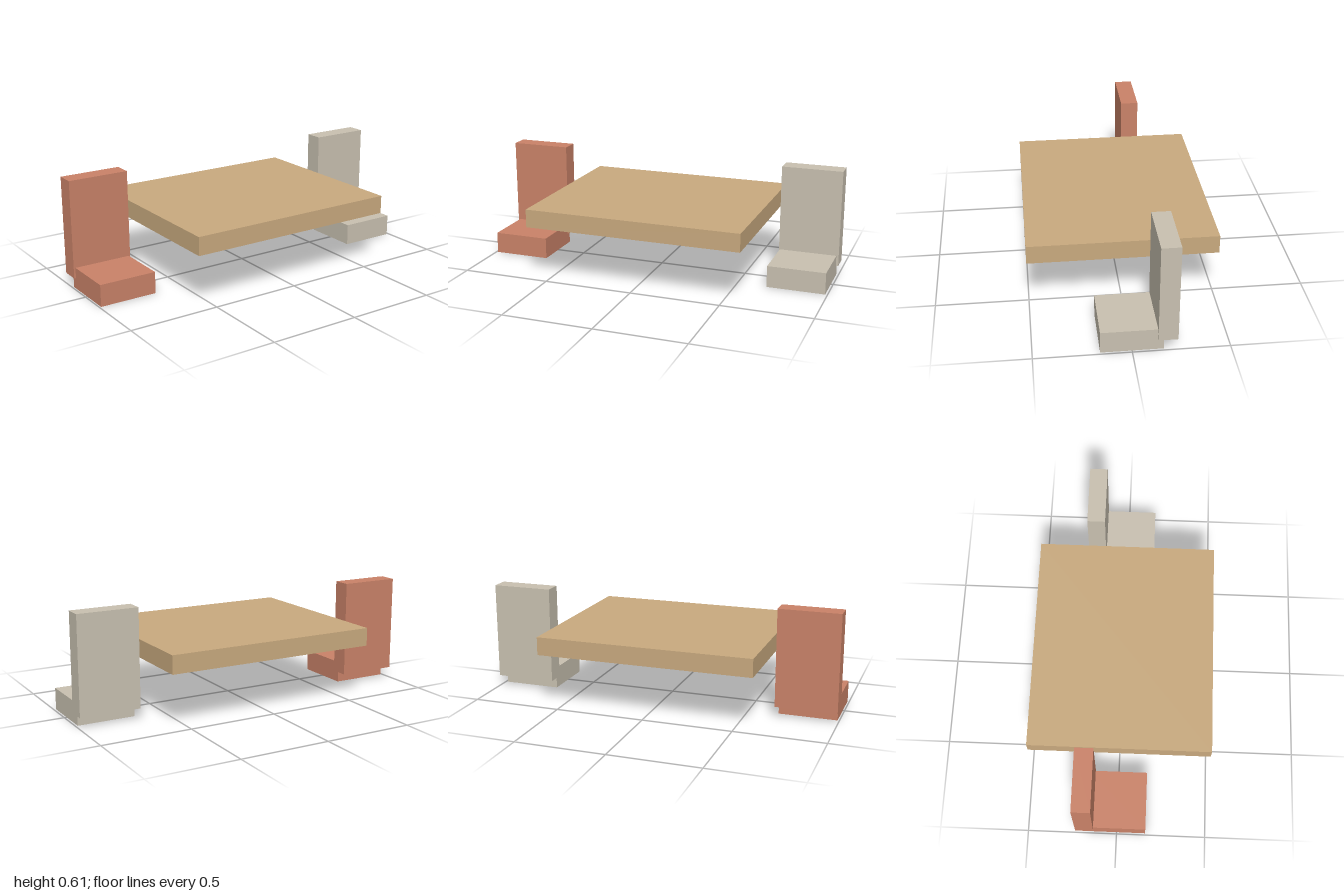
import * as THREE from 'three';

const paint = (name, color) => Object.assign(new THREE.MeshStandardMaterial({ color }), { name });

// Box given by its size and centre
function box(name, size, centre, material) {
  const mesh = new THREE.Mesh(new THREE.BoxGeometry(...size), material);
  mesh.name = name;
  mesh.position.set(...centre);
  return mesh;
}

// Low chair: seat block with an upright back overlapping its rear edge
function chair(name, seatX, backX, material) {
  const group = new THREE.Group();
  group.name = name;
  group.add(
    box('seat', [0.322, 0.121, 0.322], [seatX, 0.0605, 0], material),
    box('backrest', [0.34, 0.544, 0.101], [backX, 0.334, -0.181], material)
  );
  return group;
}

export function createModel() {
  const wood = paint('tan wood', 0xc8a97e);
  const red = paint('terracotta', 0xc98268);
  const grey = paint('warm grey', 0xc8c0b0);

  const model = new THREE.Group();
  model.name = 'tableAndChairs';
  model.add(
    // Floating table top between the two chairs
    box('tableTop', [1.212, 0.101, 1.01], [0, 0.355, 0], wood),
    chair('rightChair', -0.829, -0.83, red),
    chair('leftChair', 0.826, 0.83, grey)
  );
  return model;
}
